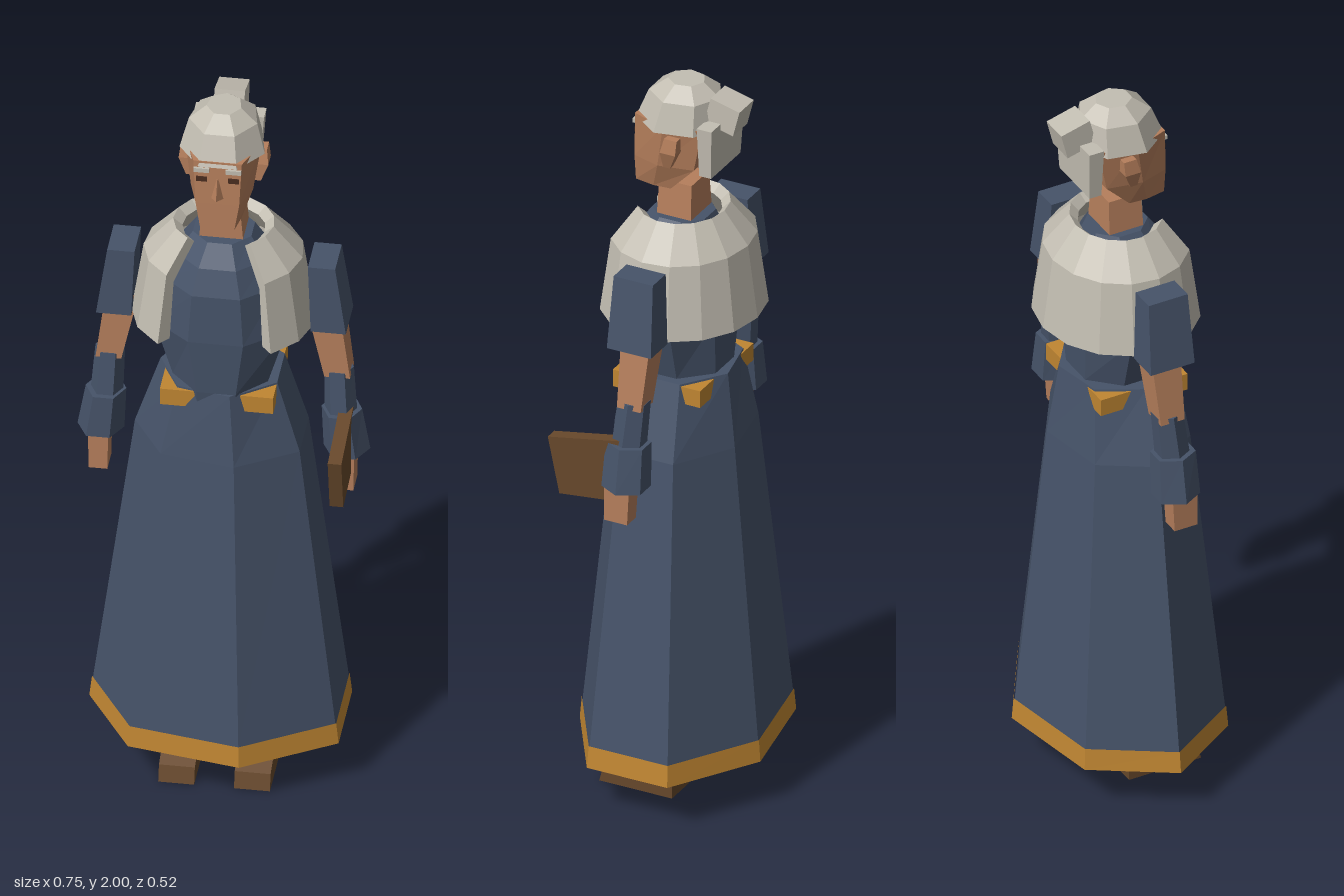
import * as THREE from 'three';

const mat = (name, color, side = THREE.FrontSide) => {
  const m = new THREE.MeshStandardMaterial({ color, side, flatShading: true });
  m.name = name;
  return m;
};

// Elliptical n-sided ring of points at height y, counterclockwise from above
function ring(y, rx, rz, n, start = 0, cx = 0, cz = 0) {
  return Array.from({ length: n }, (_, i) => {
    const a = start + (i / n) * Math.PI * 2;
    return [cx + Math.cos(a) * rx, y, cz - Math.sin(a) * rz];
  });
}

// Rectangular ring given by its half sizes
const rect = (y, hx, hz, cx = 0, cz = 0) =>
  ring(y, hx * Math.SQRT2, hz * Math.SQRT2, 4, Math.PI / 4, cx, cz);

// Skin a list of equal rings, with optional end caps
function loft(rings, caps = true) {
  const pos = [];
  const tri = (a, b, c) => { if (a !== b && b !== c && a !== c) pos.push(...a, ...b, ...c); };
  const quad = (a, b, c, d) => { tri(a, b, c); tri(a, c, d); };
  const n = rings[0].length;
  for (let k = 0; k < rings.length - 1; k++) {
    const a = rings[k], b = rings[k + 1];
    for (let i = 0; i < n; i++) {
      const j = (i + 1) % n;
      quad(a[i], a[j], b[j], b[i]);
    }
  }
  if (caps) {
    const cap = (r) => {
      for (let i = 0; i + 1 <= n - 2 - i; i++) quad(r[i], r[i + 1], r[n - 2 - i], r[n - 1 - i]);
    };
    cap([...rings[0]].reverse());
    cap(rings[rings.length - 1]);
  }
  const g = new THREE.BufferGeometry();
  g.setAttribute('position', new THREE.Float32BufferAttribute(pos, 3));
  g.computeVertexNormals();
  return g;
}

// Shape drawn in (z, y), extruded along x from x0 to x1
function sideExtrude(points, x0, x1) {
  const shape = new THREE.Shape(points.map(([z, y]) => new THREE.Vector2(-z, y)));
  const g = new THREE.ExtrudeGeometry(shape, { depth: x1 - x0, bevelEnabled: false });
  g.rotateY(Math.PI / 2);
  g.translate(x0, 0, 0);
  return g;
}

export function createModel() {
  const group = new THREE.Group();
  const cloth = mat('blueCloth', 0x465369);
  const clothOpen = mat('blueClothOpen', 0x465369, THREE.DoubleSide);
  const grey = mat('paleGrey', 0xc3beb2);
  const gold = mat('goldTrim', 0xc08632);
  const skin = mat('skin', 0xb67f5c);
  const leather = mat('brownLeather', 0x67482b);
  const dark = mat('darkEye', 0x4a2d20);

  const add = (name, geo, material) => {
    const m = new THREE.Mesh(geo, material);
    m.name = name;
    group.add(m);
    return m;
  };
  const box = (name, w, h, d, x, y, z, material) => {
    const m = add(name, new THREE.BoxGeometry(w, h, d), material);
    m.position.set(x, y, z);
    return m;
  };

  // Seven-sided skirt, open underneath, with a trimmed hem
  const skirtRing = (y, rx, rz) => ring(y, rx, rz, 7, Math.PI);
  add('skirt', loft([
    skirtRing(0.132, 0.341, 0.261), skirtRing(0.19, 0.335, 0.257),
    skirtRing(1.0, 0.228, 0.176), skirtRing(1.2, 0.162, 0.148),
  ], false), clothOpen);
  add('skirtTop', loft([skirtRing(1.19, 0.16, 0.146), skirtRing(1.2, 0.162, 0.148)]), cloth);
  add('hem', loft([skirtRing(0.13, 0.345, 0.265), skirtRing(0.19, 0.338, 0.26)], false), gold);

  // Square belt whose corners show through the waist
  box('belt', 0.29, 0.048, 0.25, 0, 1.171, 0.003, gold);

  // Bodice
  const bodyRing = (y, hx, hz, cz = 0.01) => ring(y, hx / 0.924, hz / 0.924, 8, Math.PI / 8, 0, cz);
  add('bodice', loft([
    bodyRing(1.12, 0.115, 0.115), bodyRing(1.2, 0.122, 0.126), bodyRing(1.36, 0.17, 0.135),
    bodyRing(1.5, 0.15, 0.13), bodyRing(1.57, 0.115, 0.105), bodyRing(1.625, 0.075, 0.075, 0),
  ]), cloth);

  // Shoulder cape: a closed section swept round the back, open in front
  const section = [[1, 1.36], [0.87, 1.56], [0.55, 1.645], [0.45, 1.625], [0.76, 1.53], [0.82, 1.36]];
  const sweep = [];
  for (let i = 0; i <= 12; i++) {
    const a = THREE.MathUtils.degToRad(-52 + (i / 12) * 284);
    sweep.push(section.map(([s, y]) => [Math.cos(a) * 0.235 * s, y, -Math.sin(a) * 0.21 * s]));
  }
  add('cape', loft(sweep.reverse()), grey);

  // Arms, legs and shoes
  for (const s of [1, -1]) {
    const side = s > 0 ? 'left' : 'right';
    add(side + 'Sleeve', loft([
      rect(1.36, 0.045, 0.063, s * 0.275, -0.01), rect(1.555, 0.035, 0.056, s * 0.257, -0.008),
    ]), cloth);
    add(side + 'Arm', loft([
      rect(1.2, 0.033, 0.034, s * 0.293, -0.013), rect(1.4, 0.042, 0.042, s * 0.258, -0.02),
    ]), skin);
    add(side + 'Forearm', loft([
      ring(1.08, 0.042, 0.046, 6, 0, s * 0.3, 0), ring(1.215, 0.038, 0.042, 6, 0, s * 0.293, -0.013),
    ]), cloth);
    add(side + 'Cuff', loft([
      ring(0.975, 0.06, 0.064, 6, 0, s * 0.315, 0), ring(1.095, 0.052, 0.06, 6, 0, s * 0.302, 0),
    ]), cloth);
    add(side + 'Hand', loft([
      rect(0.875, 0.024, 0.033, s * 0.315, 0.018), rect(0.99, 0.026, 0.036, s * 0.315, 0.014),
    ]), skin);

    add(side + 'Leg', loft([
      rect(0.08, 0.036, 0.036, s * 0.097, -0.008), rect(0.6, 0.045, 0.045, s * 0.097, -0.008),
    ]), skin);
    add(side + 'Shoe', sideExtrude(
      [[0.168, 0], [0.156, 0.045], [0.05, 0.09], [-0.04, 0.102], [-0.04, 0]],
      s * 0.097 - 0.046, s * 0.097 + 0.046), leather);
  }

  // Book held in the left hand
  add('book', sideExtrude([[0.215, 1.07], [0, 1.11], [0, 0.935], [0.182, 0.915]], 0.298, 0.333), leather);

  // Neck and faceted head
  add('neck', loft([rect(1.58, 0.06, 0.05), rect(1.72, 0.048, 0.046)]), skin);
  const headRing = (y, w, front, back, zf, zm, zb) =>
    [[w, zm], [back, zb], [-back, zb], [-w, zm], [-front, zf], [front, zf]].map(([x, z]) => [x, y, z]);
  add('head', loft([
    headRing(1.7, 0.054, 0.044, 0.05, 0.115, 0.06, 0.012),
    headRing(1.775, 0.08, 0.056, 0.062, 0.113, 0.035, -0.06),
    headRing(1.9, 0.098, 0.062, 0.075, 0.108, 0.01, -0.09),
  ]), skin);
  add('nose', loft([
    [[0.02, 1.79, 0.105], [-0.02, 1.79, 0.105], [0, 1.798, 0.138]],
    [[0.005, 1.85, 0.105], [-0.005, 1.85, 0.105], [0, 1.85, 0.113]],
  ]), skin);
  for (const s of [1, -1]) {
    const side = s > 0 ? 'left' : 'right';
    box(side + 'Eye', 0.028, 0.014, 0.008, s * 0.041, 1.848, 0.109, dark);
    box(side + 'Brow', 0.04, 0.012, 0.009, s * 0.041, 1.876, 0.111, grey);
    add(side + 'Ear', loft([
      rect(1.785, 0.008, 0.01, s * 0.088, 0), rect(1.835, 0.016, 0.022, s * 0.099, -0.012),
      rect(1.875, 0.01, 0.018, s * 0.1, -0.018),
    ]), skin);
  }

  // Hair: seven-sided crown, back panel and bun
  const hairRing = (y, r, cz = 0) => ring(y, r, r * 1.07, 7, Math.PI / 2, 0, cz);
  add('hairCrown', loft([
    hairRing(1.885, 0.112, 0.004), hairRing(1.965, 0.09, -0.006), hairRing(2.0, 0.046, -0.008),
  ]), grey);
  add('hairBack', loft([rect(1.775, 0.08, 0.017, 0, -0.102), rect(1.915, 0.09, 0.021, 0, -0.104)]), grey);
  const bun = box('hairBun', 0.078, 0.075, 0.085, 0, 1.935, -0.128, grey);
  bun.rotation.x = -0.25;

  return group;
}
